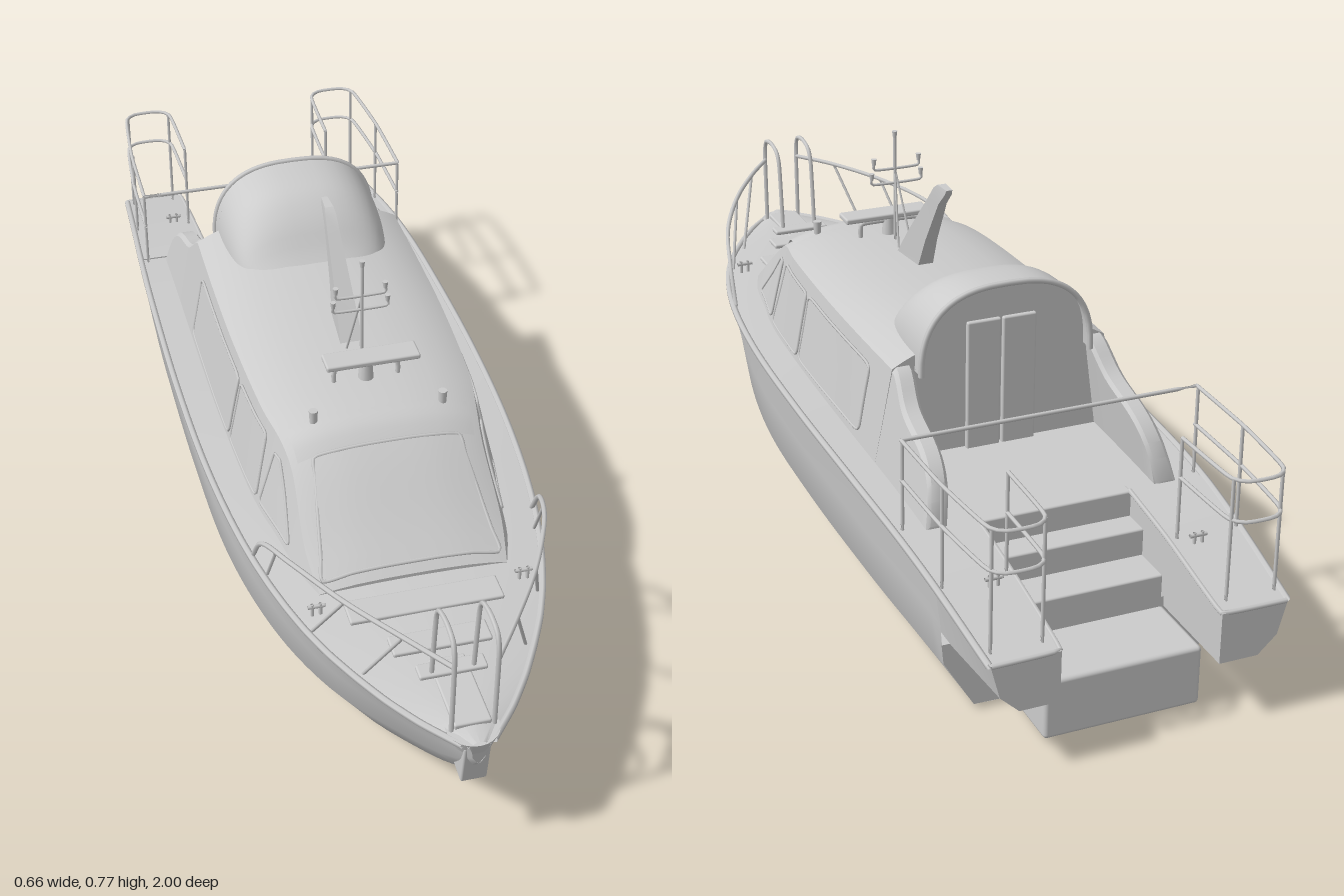
import * as THREE from 'three';
import { toCreasedNormals } from 'three/addons/utils/BufferGeometryUtils.js';
import { RoundedBoxGeometry } from 'three/addons/geometries/RoundedBoxGeometry.js';

const grey = new THREE.MeshStandardMaterial({ color: 0xcccccc, side: THREE.DoubleSide });
const V = (p) => new THREE.Vector3(...p);
const range = (a, b, n) => Array.from({ length: n + 1 }, (_, i) => a + ((b - a) * i) / n);

// Smooth interpolation of table rows [z, ...values], z descending
function sample(table, z) {
  const n = table.length;
  let i = 0;
  while (i < n - 2 && z < table[i + 1][0]) i++;
  const a = table[i], b = table[i + 1], p = table[Math.max(i - 1, 0)], q = table[Math.min(i + 2, n - 1)];
  const h = b[0] - a[0], t = THREE.MathUtils.clamp((z - a[0]) / h, 0, 1), t2 = t * t, t3 = t2 * t;
  return a.slice(1).map((va, k) => {
    const vb = b[k + 1], ma = ((vb - p[k + 1]) / (b[0] - p[0])) * h, mb = ((q[k + 1] - va) / (q[0] - a[0])) * h;
    return (2 * t3 - 3 * t2 + 1) * va + (t3 - 2 * t2 + t) * ma + (3 * t2 - 2 * t3) * vb + (t3 - t2) * mb;
  });
}

// Skin through equal-length sections, bow to stern, counter-clockwise from the front
function loft(sections, { closed = false, caps = false, crease = 0.5 } = {}) {
  const m = sections[0].length, pos = sections.flat(2), idx = [];
  for (let i = 0; i < sections.length - 1; i++)
    for (let j = 0; j < (closed ? m : m - 1); j++) {
      const k = (j + 1) % m, a = i * m + j, b = a + m, c = b - j + k, d = i * m + k;
      idx.push(a, b, d, b, c, d);
    }
  if (caps)
    [0, sections.length - 1].forEach((s) => {
      const mid = [0, 1, 2].map((c) => sections[s].reduce((t, p) => t + p[c], 0) / m), e = pos.length / 3;
      pos.push(...mid);
      for (let j = 0; j < m; j++) {
        const a = s * m + j, b = s * m + ((j + 1) % m);
        s === 0 ? idx.push(e, a, b) : idx.push(e, b, a);
      }
    });
  const g = new THREE.BufferGeometry();
  g.setAttribute('position', new THREE.Float32BufferAttribute(pos, 3));
  g.setIndex(idx);
  return toCreasedNormals(g, crease);
}

// z, gunwale half width, sheer y, keel y, lower chine x/y, upper chine x/y
const HULL = [
  [0.995, 0.02, 0.295, 0.25, 0.004, 0.252, 0.012, 0.265],
  [0.94, 0.07, 0.297, 0.18, 0.015, 0.187, 0.04, 0.22],
  [0.83, 0.145, 0.3, 0.1, 0.05, 0.12, 0.1, 0.185],
  [0.67, 0.225, 0.308, 0.035, 0.12, 0.07, 0.185, 0.155],
  [0.46, 0.283, 0.315, 0.005, 0.185, 0.03, 0.25, 0.13],
  [0.2, 0.315, 0.318, 0, 0.22, 0.013, 0.29, 0.115],
  [-0.1, 0.325, 0.318, 0, 0.23, 0.01, 0.3, 0.11],
  [-0.45, 0.32, 0.31, 0.003, 0.23, 0.01, 0.298, 0.11],
  [-0.64, 0.312, 0.298, 0.005, 0.228, 0.01, 0.292, 0.11],
  [-0.79, 0.302, 0.276, 0.005, 0.225, 0.01, 0.285, 0.11],
  [-1, 0.287, 0.232, 0.005, 0.22, 0.01, 0.275, 0.11],
];
// z, base half width, eave half width, eave y, crown y
const CABIN = [
  [0.575, 0.19, 0.185, 0.315, 0.328],
  [0.5, 0.215, 0.195, 0.363, 0.386],
  [0.38, 0.235, 0.19, 0.457, 0.485],
  [0.32, 0.246, 0.197, 0.486, 0.517],
  [0.22, 0.255, 0.213, 0.496, 0.528],
  [0, 0.262, 0.224, 0.5, 0.536],
  [-0.2, 0.262, 0.225, 0.5, 0.542],
  [-0.38, 0.26, 0.222, 0.5, 0.545],
  [-0.64, 0.255, 0.215, 0.5, 0.545],
];
const sideX = (z, y) => {
  const [b, t, e] = sample(CABIN, z);
  return b + ((t - b) * (y - 0.3)) / Math.max(e - 0.3, 0.02);
};
const roofY = (z, x) => {
  const [, t, e, h] = sample(CABIN, z);
  return e + (h - e) * (1 - Math.abs(x / t) ** 3);
};

export function createModel() {
  const model = new THREE.Group();
  const add = (name, geo, p = [0, 0, 0]) => {
    const mesh = new THREE.Mesh(geo, grey);
    mesh.name = name;
    mesh.position.set(...p);
    model.add(mesh);
    return mesh;
  };
  const box = (name, s, p, r = 0.004) => add(name, new RoundedBoxGeometry(...s, 2, r), p);
  const tube = (name, pts, r = 0.004, closed = false, tension = 0.3) =>
    add(name, new THREE.TubeGeometry(new THREE.CatmullRomCurve3(pts.map(V), closed, 'catmullrom', tension), pts.length * 6, r, 6, closed));
  const rod = (name, a, b, r = 0.0035) => tube(name, [a, b], r);
  const mirror = (fn) => [1, -1].forEach(fn);

  // Hull skin, deck and transom
  const stations = range(0.995, -0.79, 48);
  add('hull', loft(stations.map((z) => {
    const [g, s, k, x1, y1, x2, y2] = sample(HULL, z);
    const half = [[x1 * 0.5, k + (y1 - k) * 0.7], [x1 * 0.54, k + (y1 - k) * 0.4], [x1, y1], [x2, y2],
      [(x2 + g) / 2 - 0.002, (y2 + s) / 2], [g, s]];
    return [...half.slice().reverse().map(([x, y]) => [-x, y, z]), [0, k, z], ...half.map(([x, y]) => [x, y, z])];
  }), { crease: 0.6 }));
  add('deck', loft(range(0.995, -0.64, 40).map((z) => {
    const [g, s] = sample(HULL, z), crown = 0.012 * THREE.MathUtils.smoothstep(z, -0.3, 0.3);
    return [1, 0.93, 0.6, 0.3, 0, -0.3, -0.6, -0.93, -1].map((u) => [g * u, s + crown * (1 - u * u) - 0.003, z]);
  })));
  const transom = [[0, 0.005], [0.225, 0.01], [0.285, 0.11], [0.289, 0.15], [-0.289, 0.15], [-0.285, 0.11], [-0.225, 0.01]];
  add('transom', new THREE.ShapeGeometry(new THREE.Shape(transom.map((p) => new THREE.Vector2(...p)))), [0, 0, -0.79]);

  // Stern: side pontoons, steps and bathing platform
  mirror((m) => {
    add('sternPontoon', loft(range(-0.64, -1, 8).map((z) => {
      const [g, s] = sample(HULL, z), o = z > -0.8 ? 0.003 : 0;
      const ring = [[0.155, 0.13], [g - 0.055, 0.13], [g - 0.018 - o, 0.165], [g - o, s], [0.155, s]];
      return (m > 0 ? ring : ring.reverse()).map(([x, y]) => [m * x, y, z]);
    }), { closed: true, caps: true }));
    tube('rubRail', range(0.985, -0.995, 30).map((z) => {
      const [g, s] = sample(HULL, z);
      return [m * g, s - 0.003, z];
    }), 0.007);
    tube('pontoonEdge', [[0.155, 0.296, -0.64], [0.155, 0.274, -0.79], [0.155, 0.234, -0.985], [0.17, 0.232, -0.998], [0.285, 0.23, -0.998]].map(([x, y, z]) => [m * x, y, z]), 0.005);
  });
  [[0.297, -0.6, -0.645], [0.245, -0.64, -0.7], [0.19, -0.69, -0.78]].forEach(([y, z0, z1]) =>
    box('sternStep', [0.315, y - 0.02, z0 - z1], [0, y / 2 + 0.01, (z0 + z1) / 2]));
  box('bathingPlatform', [0.31, 0.12, 0.19], [0, 0.07, -0.845], 0.008);

  // Cabin shell with sloping windscreen face
  const us = [1, 0.97, 0.9, 0.78, 0.6, 0.3, 0, -0.3, -0.6, -0.78, -0.9, -0.97, -1];
  add('cabin', loft(range(0.575, -0.38, 40).map((z) => {
    const [b, t] = sample(CABIN, z);
    return [[b, 0.3, z], ...us.map((u) => [u * t, roofY(z, u * t), z]), [-b, 0.3, z]];
  }), { closed: true, caps: true, crease: 0.45 }));
  add('windscreen', loft(range(0.555, 0.37, 8).map((z, i) =>
    range(1, -1, 8).map((u) => {
      const x = u * (0.175 - 0.03 * (i / 8));
      return [x, roofY(z, x) + 0.002, z + 0.002];
    }))));
  const frame = [];
  range(-0.175, 0.175, 6).forEach((x) => frame.push([x, roofY(0.555, x), 0.557]));
  range(0.52, 0.4, 3).forEach((z) => frame.push([0.145 + (z - 0.37) * 0.16, roofY(z, 0.16), z]));
  range(0.145, -0.145, 6).forEach((x) => frame.push([x, roofY(0.37, x), 0.372]));
  range(0.4, 0.52, 3).forEach((z) => frame.push([-0.145 - (z - 0.37) * 0.16, roofY(z, 0.16), z]));
  tube('windscreenFrame', frame, 0.004, true);
  add('roofBrow', loft(range(0.37, 0.3, 4).map((z, i) =>
    us.map((u) => [u * 0.93 * sample(CABIN, z)[1], roofY(z, u * 0.93 * sample(CABIN, z)[1]) + 0.006 * Math.sin((i / 4) * Math.PI), z]))));

  // Side windows, corners as [z, y]: bottom front, bottom rear, top rear, top front
  const windows = [
    [[0.45, 0.335], [0.305, 0.335], [0.31, 0.455], [0.335, 0.455]],
    [[0.285, 0.332], [0.095, 0.332], [0.095, 0.468], [0.265, 0.468]],
    [[0.078, 0.332], [-0.285, 0.332], [-0.285, 0.47], [0.078, 0.47]],
  ];
  mirror((m) => windows.forEach((c) => {
    const at = (u, v) => {
      const mix = (k) => THREE.MathUtils.lerp(THREE.MathUtils.lerp(c[0][k], c[1][k], u), THREE.MathUtils.lerp(c[3][k], c[2][k], u), v);
      const z = mix(0), y = mix(1);
      return [m * (sideX(z, y) + 0.002), y, z];
    };
    add('sideWindow', loft(range(0, 1, 6).map((u) => range(m > 0 ? 0 : 1, m > 0 ? 1 : 0, 2).map((v) => at(u, v)))));
    const edge = [[0, 0], [1, 0], [1, 1], [0, 1]];
    tube('windowFrame', edge.flatMap(([u, v], i) => {
      const [u2, v2] = edge[(i + 1) % 4];
      return [0.06, 0.35, 0.65, 0.94].map((t) => at(u + (u2 - u) * t, v + (v2 - v) * t));
    }), 0.003, true);
  }));

  // Rear hood, back wall and doors
  const HOOD = [[-0.16, 0.12, 0.525], [-0.2, 0.152, 0.56], [-0.24, 0.166, 0.605], [-0.29, 0.173, 0.64], [-0.34, 0.176, 0.652], [-0.415, 0.176, 0.655]];
  const hoodRing = (z) => {
    const [w, top] = sample(HOOD, z);
    return range(0, Math.PI, 24).map((a) => {
      const c = Math.cos(a);
      return [Math.sign(c) * w * Math.abs(c) ** 0.75, 0.49 + (top - 0.49) * Math.max(Math.sin(a), 0) ** 0.8, z];
    });
  };
  add('hood', loft(range(-0.16, -0.415, 16).map(hoodRing), { crease: 1 }));
  tube('hoodEdge', hoodRing(-0.413), 0.006);
  add('hoodBackWall', new THREE.ShapeGeometry(new THREE.Shape(hoodRing(-0.38).map(([x, y]) => new THREE.Vector2(x, y)))), [0, 0, -0.383]);
  mirror((m) => box('cabinDoor', [0.07, 0.27, 0.012], [m * 0.037, 0.44, -0.385]));

  // Cockpit wings sweeping down behind the cabin
  const WING = [[-0.35, 0.505], [-0.39, 0.5], [-0.45, 0.45], [-0.56, 0.41], [-0.61, 0.365], [-0.635, 0.3]];
  mirror((m) => add('cockpitWing', loft(range(-0.35, -0.635, 20).map((z) => {
    const y = sample(WING, z)[0], o = sideX(z, y);
    const ring = [[sideX(z, 0.29), 0.29], [o, y - 0.008], [o - 0.008, y], [o - 0.034, y], [o - 0.04, y - 0.008], [0.21, 0.29]];
    return (m > 0 ? ring : ring.reverse()).map(([x, yy]) => [m * x, yy, z]);
  }), { closed: true, caps: true })));

  // Raked fin mast
  const fin = (y, z0, z1, w) => [[w, y, z0], [w * 0.7, y, z1], [-w * 0.7, y, z1], [-w, y, z0]];
  add('finMast', loft([fin(0.525, 0.105, 0.005, 0.024), fin(0.6, 0.045, -0.03, 0.019), fin(0.7, -0.045, -0.09, 0.013),
    fin(0.73, -0.07, -0.12, 0.011), fin(0.74, -0.085, -0.125, 0.009)], { closed: true, caps: true }));

  // Radar bar, aerial mast and roof lamps
  box('radarBar', [0.19, 0.012, 0.05], [0.01, 0.575, 0.21]);
  tube('radarBracket', [[-0.065, 0.52, 0.21], [-0.065, 0.548, 0.21], [-0.055, 0.558, 0.21], [0.055, 0.558, 0.21], [0.065, 0.548, 0.21], [0.065, 0.52, 0.21]], 0.005);
  add('radarPedestal', new THREE.CylinderGeometry(0.012, 0.016, 0.05, 12), [0, 0.55, 0.21]);
  rod('aerialMast', [0.003, 0.525, 0.165], [0.003, 0.76, 0.165], 0.0035);
  mirror((m) => rod('aerialStay', [0.003, 0.69, 0.165], [m * 0.015, 0.53, 0.115], 0.0025));
  const tip = (x, y) => add('aerialTip', new THREE.CylinderGeometry(0.006, 0.004, 0.014, 8), [x, y, 0.165]);
  tip(0.003, 0.766);
  [[0.055, 0.66], [0.05, 0.692]].forEach(([w, y]) => {
    tube('aerialCrossbar', [[-w, y + 0.015, 0.165], [-w + 0.004, y, 0.165], [w - 0.004, y, 0.165], [w, y + 0.015, 0.165]], 0.003);
    mirror((m) => tip(m * w, y + 0.018));
  });
  mirror((m) => add('roofLamp', new THREE.CylinderGeometry(0.009, 0.007, 0.035, 10), [m * 0.13, 0.522, 0.305]));

  // Bow fitting, walkway and deck steps
  add('bowCap', new THREE.CylinderGeometry(0.05, 0.038, 0.032, 24), [0, 0.283, 0.95]);
  box('stemPlate', [0.05, 0.1, 0.05], [0, 0.235, 0.955]).rotation.x = 0.15;
  box('bowWalkway', [0.07, 0.012, 0.17], [0, 0.306, 0.87]);
  [[0.3, 0.64, 0.06], [0.19, 0.745, 0.05], [0.13, 0.82, 0.035]].forEach(([w, z, d]) => box('deckStep', [w, 0.01, d], [0, 0.318, z]));

  // Bow pulpit and side rails, deck cleats, stern rails
  mirror((m) => {
    const f = (pts) => pts.map(([x, y, z]) => [m * x, y, z]);
    tube('pulpitHoop', f([[0.04, 0.29, 0.952], [0.04, 0.47, 0.954], [0.04, 0.507, 0.94], [0.04, 0.514, 0.9], [0.04, 0.504, 0.86], [0.04, 0.47, 0.842], [0.04, 0.3, 0.825]]), 0.005);
    tube('bowRail', f([[0.04, 0.455, 0.952], [0.105, 0.455, 0.86], [0.18, 0.447, 0.74], [0.245, 0.43, 0.6], [0.275, 0.39, 0.49], [0.283, 0.31, 0.43]]), 0.005, false, 0.5);
    [[[0.105, 0.455, 0.86], [0.155, 0.3, 0.78]], [[0.18, 0.447, 0.74], [0.22, 0.305, 0.655]], [[0.262, 0.412, 0.545], [0.268, 0.31, 0.49]]]
      .forEach((p) => rod('bowStanchion', ...f(p)));
    [[0.62, 0.325], [-0.82, 0.28]].forEach(([z, y]) => {
      rod('cleat', [m * 0.185, y + 0.006, z], [m * 0.22, y + 0.006, z], 0.004);
      mirror((s) => rod('cleatFoot', [m * 0.203 + s * 0.008, y - 0.02, z], [m * 0.203 + s * 0.008, y + 0.012, z]));
    });
    [0.48, 0.4].forEach((y) =>
      tube('sternRail', f([[0.298, y, -0.62], [0.295, y, -0.8], [0.28, y, -0.96], [0.255, y, -0.988], [0.2, y, -0.988], [0.175, y, -0.96], [0.17, y, -0.8]])));
    [[0.298, 0.3, -0.625], [0.293, 0.275, -0.8], [0.275, 0.235, -0.97], [0.178, 0.235, -0.97], [0.17, 0.275, -0.8]]
      .forEach(([x, y, z]) => rod('sternStanchion', [m * x, y, z], [m * x, 0.48, z]));
  });
  rod('cockpitCrossRail', [-0.298, 0.48, -0.62], [0.298, 0.48, -0.62], 0.004);

  return model;
}
